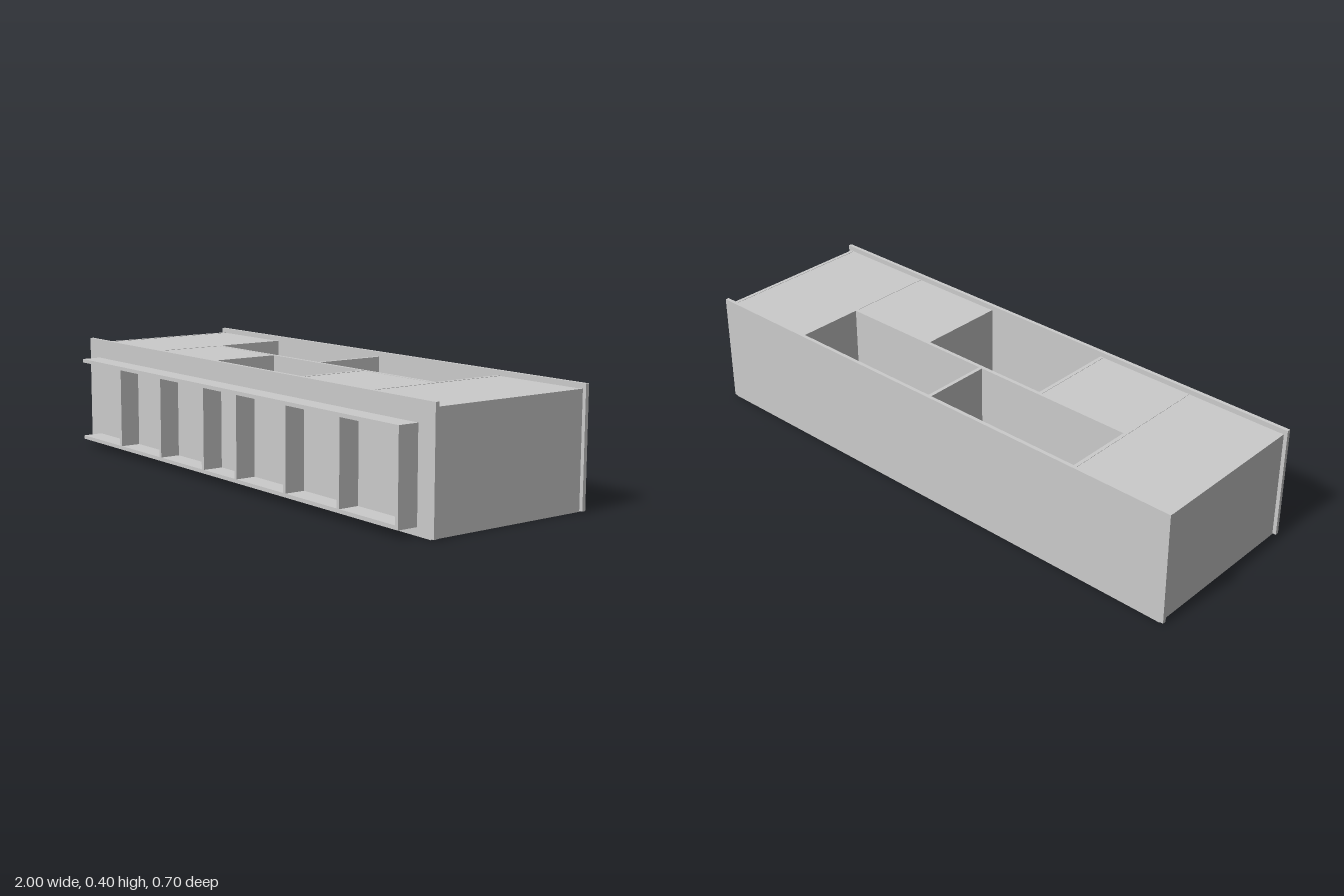
import * as THREE from 'three';

export function createModel() {
  const group = new THREE.Group();
  const material = new THREE.MeshStandardMaterial({ color: 0xcccccc });

  // Board spanning [x0, x1] x [y0, y1] x [z0, z1]
  const board = (name, [x0, x1], [y0, y1], [z0, z1]) => {
    const mesh = new THREE.Mesh(new THREE.BoxGeometry(x1 - x0, y1 - y0, z1 - z0), material);
    mesh.position.set((x0 + x1) / 2, (y0 + y1) / 2, (z0 + z1) / 2);
    mesh.name = name;
    group.add(mesh);
  };

  const T = 0.013; // board thickness
  const top = 0.386, back = -0.334, front = 0.263;
  const wallY = [0.003, top], lidY = [top - 0.015, top - 0.001];

  // Base sheet and the two long side panels
  board('floor', [-0.987, 0.987], [0, 0.003], [back - T, front + T]);
  board('frontPanel', [-1, 1], [0.003, 0.403], [front, front + T]);
  board('backPanel', [-1, 1], [0.003, 0.403], [back - T, back]);

  // Inner partitions
  const midZ = [-0.07, -0.057];
  board('longPartition', [-0.61, 0.61], wallY, midZ);
  board('centrePartition', [-T / 2, T / 2], wallY, [back, midZ[0]]);

  // Mirrored end compartments and the smaller covered boxes
  for (const [side, s] of [['left', 1], ['right', -1]]) {
    const span = (a, b) => (s > 0 ? [a, b] : [-b, -a]);
    board(side + 'EndWall', span(0.974, 0.987), wallY, [back, front]);
    board(side + 'CrossWall', span(0.61, 0.623), wallY, [back, front]);
    board(side + 'EndLid', span(0.623, 0.974), lidY, [back, front]);
    board(side + 'SmallBoxWall', span(0.25, 0.263), wallY, [midZ[1], front]);
    board(side + 'SmallBoxLid', span(0.263, 0.61), lidY, [midZ[1], front]);
  }

  // Shallow shelf unit on the front, open at the right-hand end
  const shelfX = [-0.93, 0.926], shelfZ = [front + T, 0.349];
  board('shelfBottom', shelfX, [0.027, 0.04], shelfZ);
  board('shelfTop', shelfX, [0.321, 0.334], shelfZ);
  for (const x of [-0.652, -0.376, -0.1, 0.097, 0.372, 0.646, 0.9195]) {
    board('shelfDivider', [x - T / 2, x + T / 2], [0.04, 0.321], shelfZ);
  }
  return group;
}
